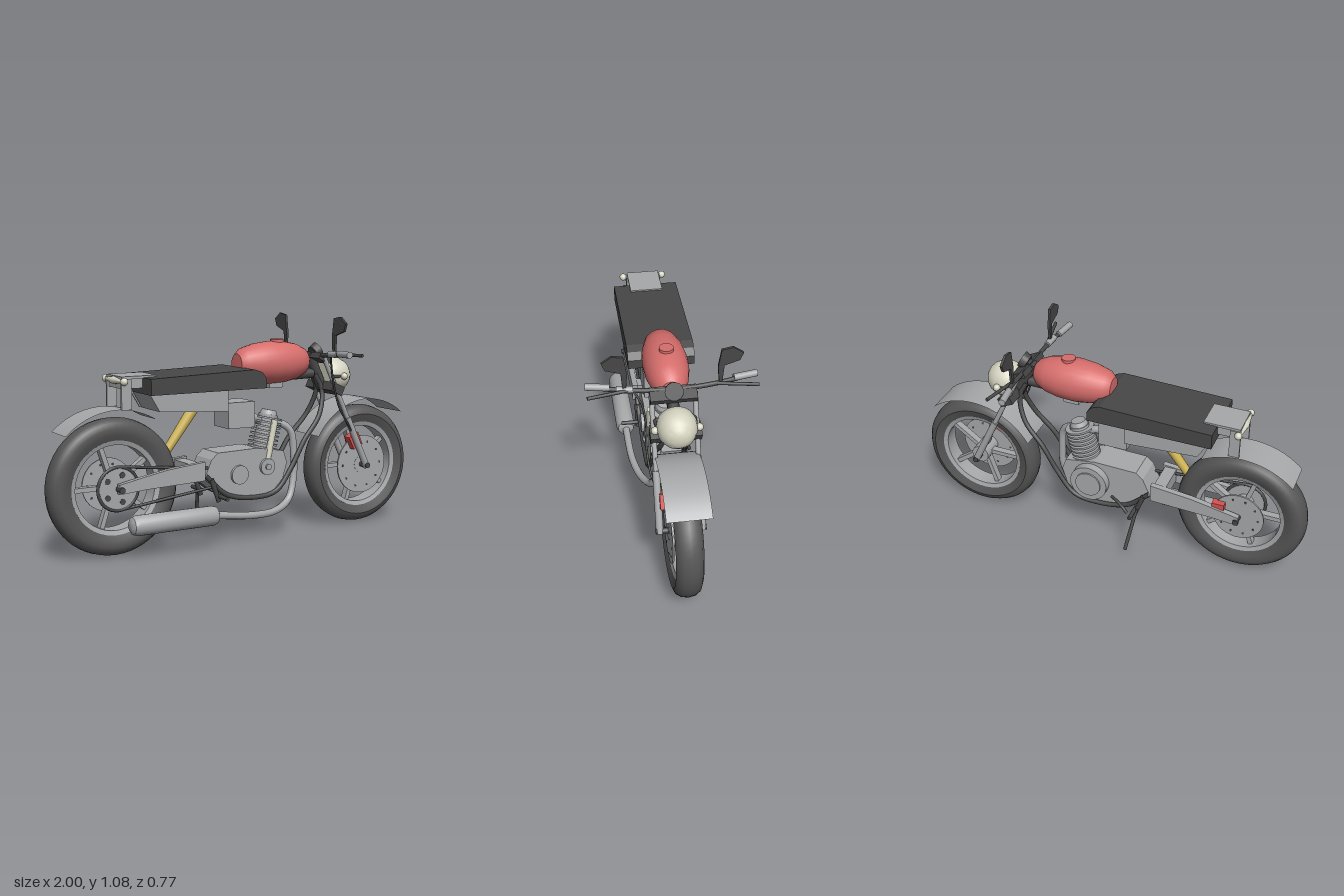
import * as THREE from 'three';
import { toCreasedNormals } from 'three/addons/utils/BufferGeometryUtils.js';

const mat = (name, color, side = THREE.FrontSide) => {
  const m = new THREE.MeshStandardMaterial({ color, side });
  m.name = name;
  return m;
};

export function createModel() {
  const root = new THREE.Group();
  root.name = 'motorcycle';
  const M = {
    rubber: mat('rubber', 0x555555),
    black: mat('black', 0x474747),
    metal: mat('metal', 0xa6a8aa, THREE.DoubleSide),
    red: mat('tankRed', 0xd66e6c),
    caliper: mat('caliperRed', 0xd85252),
    cream: mat('lampCream', 0xd6d5c2),
    gold: mat('shockGold', 0xcdb252),
  };
  const V = (p) => new THREE.Vector3(...p);
  const add = (name, geo, m, p = [0, 0, 0], parent = root) => {
    const o = new THREE.Mesh(geo, m);
    o.name = name;
    o.position.set(...p);
    parent.add(o);
    return o;
  };
  const box = (name, m, size, p, rz = 0) => {
    const o = add(name, new THREE.BoxGeometry(...size), m, p);
    o.rotation.z = rz;
    return o;
  };
  const rod = (name, m, a, b, r0, r1 = r0, parent = root) => {
    const d = V(b).sub(V(a));
    const o = add(name, new THREE.CylinderGeometry(r1, r0, d.length(), 14), m, [0, 0, 0], parent);
    o.position.copy(V(a).addScaledVector(d, 0.5));
    o.quaternion.setFromUnitVectors(new THREE.Vector3(0, 1, 0), d.normalize());
    return o;
  };
  const tube = (name, m, pts, r) =>
    add(name, new THREE.TubeGeometry(new THREE.CatmullRomCurve3(pts.map(V)), 40, r, 10), m);
  const lathe = (pts, seg) =>
    toCreasedNormals(new THREE.LatheGeometry(pts.map((p) => new THREE.Vector2(...p)), seg), 0.6);
  // Side profile in x/y, extruded between two z values
  const slab = (name, m, pts, z0, z1) =>
    add(name, new THREE.ExtrudeGeometry(new THREE.Shape(pts.map((p) => new THREE.Vector2(...p))),
      { depth: z1 - z0, bevelEnabled: false }), m, [0, 0, z0]);
  const disc = (name, m, p, r, w, parent = root) =>
    add(name, new THREE.CylinderGeometry(r, r, w, 32).rotateX(Math.PI / 2), m, p, parent);
  const sides = [1, -1];

  // Wheels: tyre, rim, five spokes, hub and drilled brake disc
  function wheel(name, x, R, discZ, discR) {
    const g = new THREE.Group();
    g.name = name;
    g.position.set(x, R, 0);
    root.add(g);
    const t = 0.215;
    add('tyre', lathe([[t, -0.045], [t + 0.03, -0.057], [R - 0.045, -0.062], [R - 0.02, -0.052], [R - 0.005, -0.03],
      [R, 0], [R - 0.005, 0.03], [R - 0.02, 0.052], [R - 0.045, 0.062], [t + 0.03, 0.057], [t, 0.045]], 56)
      .rotateX(Math.PI / 2), M.rubber, [0, 0, 0], g);
    add('rim', lathe([[0.198, -0.04], [0.219, -0.047], [0.219, 0.047], [0.198, 0.04], [0.198, -0.04]], 48)
      .rotateX(Math.PI / 2), M.metal, [0, 0, 0], g);
    for (let i = 0; i < 5; i++) {
      const a = Math.PI + (i * Math.PI * 2) / 5;
      const s = add('spoke', new THREE.BoxGeometry(0.18, 0.022, 0.035), M.metal,
        [Math.cos(a) * 0.115, Math.sin(a) * 0.115, 0], g);
      s.rotation.z = a;
    }
    disc('hub', M.metal, [0, 0, 0], 0.045, 0.12, g);
    disc('axle', M.black, [0, 0, 0], 0.014, 0.23, g);
    disc('brakeDisc', M.metal, [0, 0, discZ], discR, 0.008, g);
    for (let i = 0; i < 10; i++) {
      const a = (i * Math.PI) / 5, r = discR * 0.78;
      disc('discHole', M.black, [Math.cos(a) * r, Math.sin(a) * r, discZ], 0.006, 0.01, g);
    }
    return g;
  }
  wheel('frontWheel', 0.695, 0.305, 0.055, 0.15);
  const rear = wheel('rearWheel', -0.68, 0.32, -0.06, 0.125);

  // Rear sprocket and chain
  disc('sprocket', M.metal, [0, 0, 0.066], 0.095, 0.008, rear);
  add('sprocketChain', new THREE.TorusGeometry(0.1, 0.008, 8, 36), M.black, [0, 0, 0.066], rear);
  for (let i = 0; i < 5; i++) {
    const a = (i * Math.PI * 2) / 5;
    disc('sprocketHole', M.black, [Math.cos(a) * 0.065, Math.sin(a) * 0.065, 0.067], 0.014, 0.009, rear);
  }
  rod('lowerChain', M.black, [-0.66, 0.222, 0.066], [-0.12, 0.285, 0.066], 0.007);
  rod('upperChain', M.black, [-0.67, 0.42, 0.066], [-0.12, 0.36, 0.066], 0.007);

  // Mudguards
  const fender = (name, x, y, r, a0, a1, w, z) => {
    const d = Math.PI / 180;
    add(name, new THREE.CylinderGeometry(r, r, w, 20, 1, true, a0 * d + Math.PI / 2, (a1 - a0) * d)
      .rotateX(Math.PI / 2), M.metal, [x, y, z]);
  };
  fender('frontFender', 0.695, 0.305, 0.343, 50, 150, 0.2, 0);
  fender('rearFender', -0.68, 0.32, 0.36, 58, 134, 0.17, -0.01);

  // Fuel tank
  add('fuelTank', lathe([[0, -0.2], [0.05, -0.198], [0.076, -0.17], [0.096, -0.1], [0.105, -0.02], [0.102, 0.06],
    [0.088, 0.13], [0.065, 0.18], [0.045, 0.198], [0, 0.2]], 24).rotateZ(-Math.PI / 2), M.red, [0.18, 0.85, 0]);
  add('tankCap', new THREE.CylinderGeometry(0.033, 0.033, 0.02, 20), M.red, [0.21, 0.953, 0]);
  box('tankMount', M.metal, [0.08, 0.03, 0.06], [0.19, 0.742, 0]);

  // Seat, tray and tail
  slab('seat', M.black, [[-0.553, 0.745], [0.055, 0.745], [0.055, 0.79], [0.03, 0.822], [-0.01, 0.836],
    [-0.553, 0.82]], -0.158, 0.158);
  const tray = [[-0.53, 0.745], [-0.48, 0.66], [-0.12, 0.638], [-0.12, 0.745]];
  slab('seatTray', M.metal, tray, -0.095, 0.095);
  slab('trayPlate', M.metal, tray, -0.125, -0.115);
  box('tailPlate', M.metal, [0.175, 0.012, 0.16], [-0.575, 0.823, 0]);
  box('tailBlock', M.metal, [0.11, 0.05, 0.14], [-0.6, 0.797, 0]);
  for (const s of sides) {
    box('tailStay', M.metal, [0.05, 0.14, 0.012], [-0.64, 0.748, s * 0.08]);
    add('rearIndicator', new THREE.SphereGeometry(0.018, 14, 10), M.cream, [-0.658, 0.808, s * 0.1]);
    rod('tailLamp', M.cream, [-0.663, 0.808, 0], [-0.663, 0.808, s * 0.09], 0.018, 0.006);
  }
  box('airBox', M.metal, [0.145, 0.125, 0.14], [-0.037, 0.613, 0.01]);
  rod('shock', M.gold, [-0.405, 0.455, 0], [-0.24, 0.675, 0], 0.02, 0.028);

  // Engine case and side covers
  slab('engineCase', M.metal, [[-0.24, 0.32], [-0.12, 0.225], [-0.03, 0.205], [0.06, 0.2], [0.14, 0.22], [0.2, 0.28],
    [0.225, 0.36], [0.205, 0.42], [0.05, 0.445], [-0.165, 0.44], [-0.2, 0.41]], -0.075, 0.075);
  disc('sprocketCover', M.metal, [-0.05, 0.325, 0.075], 0.046, 0.03);
  disc('crankCover', M.metal, [0.107, 0.35, 0.075], 0.04, 0.03);
  disc('crankBolt', M.metal, [0.107, 0.35, 0.09], 0.015, 0.016);
  disc('clutchCase', M.metal, [0.07, 0.335, -0.09], 0.095, 0.05);
  disc('clutchCover', M.metal, [0.07, 0.335, -0.11], 0.065, 0.025);

  // Finned cylinder leaning forward
  const cyl = new THREE.Group();
  cyl.name = 'cylinder';
  cyl.position.set(0.115, 0.38, 0);
  cyl.rotation.z = -0.22;
  root.add(cyl);
  add('barrel', new THREE.CylinderGeometry(0.048, 0.048, 0.22, 24), M.metal, [0, 0.11, 0], cyl);
  for (let i = 0; i < 8; i++)
    add('fin', new THREE.CylinderGeometry(0.072, 0.072, 0.009, 28), M.metal, [0, 0.055 + i * 0.021, 0], cyl);
  add('headCap', new THREE.CylinderGeometry(0.035, 0.045, 0.025, 20), M.metal, [0, 0.23, 0], cyl);
  add('pushrodCover', new THREE.CylinderGeometry(0.016, 0.016, 0.2, 14), M.cream, [0, 0.1, 0.068], cyl);
  tube('intake', M.metal, [[0.03, 0.59, 0], [0.08, 0.585, 0], [0.12, 0.56, 0], [0.15, 0.53, 0]], 0.02);

  // Exhaust and silencer
  tube('exhaust', M.metal, [[0.15, 0.555, 0.02], [0.215, 0.55, 0.03], [0.265, 0.51, 0.045], [0.28, 0.4, 0.05],
    [0.277, 0.28, 0.055], [0.235, 0.175, 0.075], [0.14, 0.135, 0.11], [0, 0.133, 0.14], [-0.23, 0.16, 0.148]], 0.018);
  add('silencer', lathe([[0, -0.225], [0.025, -0.225], [0.04, -0.215], [0.047, -0.195], [0.047, 0.195],
    [0.04, 0.215], [0.022, 0.225], [0, 0.225]], 24).rotateZ(-Math.PI / 2), M.metal, [-0.435, 0.16, 0.148]);

  // Frame and swingarm
  rod('backbone', M.black, [0.42, 0.785, 0], [0, 0.775, 0], 0.025);
  rod('steeringHead', M.black, [0.4, 0.89, 0], [0.48, 0.71, 0], 0.026);
  for (const s of sides) {
    tube('cradleTube', M.black, [[0.43, 0.78, s * 0.015], [0.465, 0.7, s * 0.025], [0.43, 0.58, s * 0.055],
      [0.33, 0.46, s * 0.07], [0.25, 0.33, s * 0.075], [0.16, 0.225, s * 0.08], [0.04, 0.205, s * 0.08],
      [-0.12, 0.235, s * 0.08], [-0.24, 0.34, s * 0.085]], 0.012);
    slab('swingarm', M.metal, [[-0.25, 0.32], [-0.25, 0.41], [-0.45, 0.39], [-0.56, 0.37], [-0.69, 0.345],
      [-0.69, 0.3], [-0.56, 0.31]], s * 0.092 - 0.014, s * 0.092 + 0.014);
    rod('footPeg', M.black, [-0.17, 0.235, s * 0.08], [-0.17, 0.235, s * 0.175], 0.01);
    rod('pegBracket', M.black, [-0.17, 0.21, s * 0.09], [-0.21, 0.32, s * 0.09], 0.012);
  }
  box('swingarmBridge', M.metal, [0.06, 0.07, 0.17], [-0.29, 0.365, 0]);
  tube('shiftLever', M.black, [[-0.05, 0.28, -0.1], [-0.09, 0.285, -0.13], [-0.13, 0.27, -0.15], [-0.15, 0.25, -0.155]], 0.008);
  rod('kickstand', M.black, [-0.18, 0.24, -0.1], [-0.152, 0.035, -0.18], 0.009);

  // Front fork and clamps, leaning back along one slope
  const forkX = (y) => 0.425 + (0.87 - y) * 0.478;
  for (const s of sides) {
    const z = s * 0.097;
    rod('forkTube', M.metal, [forkX(0.87), 0.87, z], [forkX(0.5), 0.5, z], 0.012);
    rod('forkLeg', M.metal, [forkX(0.56), 0.56, z], [forkX(0.295), 0.295, z], 0.017);
    rod('headlightBracket', M.black, [0.47, 0.77, s * 0.09], [0.54, 0.77, s * 0.085], 0.008);
    add('frontIndicator', new THREE.SphereGeometry(0.018, 14, 10), M.cream, [0.55, 0.77, s * 0.098]);
  }
  box('upperClamp', M.black, [0.07, 0.03, 0.21], [forkX(0.865), 0.865, 0], -0.45);
  box('lowerClamp', M.black, [0.07, 0.045, 0.23], [forkX(0.71), 0.71, 0], -0.45);
  box('frontCaliper', M.caliper, [0.06, 0.07, 0.045], [0.635, 0.435, 0.068], 0.45);
  box('rearCaliper', M.caliper, [0.06, 0.06, 0.04], [-0.585, 0.36, -0.075]);

  // Bullet headlight
  add('headlight', lathe([[0, 0], [0.07, 0], [0.084, 0.015], [0.091, 0.045], [0.087, 0.085], [0.071, 0.118],
    [0.05, 0.138], [0.03, 0.148], [0, 0.152]], 28).rotateZ(-Math.PI / 2), M.cream, [0.485, 0.77, 0]);
  rod('gauge', M.black, [0.425, 0.885, 0], [0.455, 0.9, 0], 0.036, 0.042);

  // Handlebar, grips, levers and mirrors
  tube('handlebar', M.black, [[0.37, 0.9, 0.37], [0.4, 0.893, 0.24], [0.41, 0.882, 0.1], [0.41, 0.88, 0],
    [0.41, 0.882, -0.1], [0.4, 0.893, -0.24], [0.37, 0.9, -0.37]], 0.011);
  for (const s of sides) {
    rod('grip', M.metal, [0.388, 0.9, s * 0.275], [0.372, 0.903, s * 0.382], 0.016);
    rod('lever', M.black, [0.41, 0.893, s * 0.19], [0.45, 0.897, s * 0.378], 0.008);
    const mirror = [[0.199, 0.977], [0.206, 0.895], [0.22, 0.895], [0.227, 0.985], [0.295, 1.008], [0.31, 1.045],
      [0.264, 1.077], [0.213, 1.068]].map(([z, y]) => [-s * z, y]);
    const m = slab('mirror', M.black, mirror, 0, 0.012);
    m.rotation.y = Math.PI / 2;
    m.position.set(0.398, 0, 0);
  }
  rod('brakeReservoir', M.metal, [0.405, 0.892, 0.175], [0.4, 0.895, 0.248], 0.016);
  tube('brakeHose', M.black, [[0.41, 0.89, 0.175], [0.44, 0.83, 0.14], [0.47, 0.72, 0.125], [0.5, 0.62, 0.128],
    [0.57, 0.52, 0.115], [0.62, 0.46, 0.085]], 0.005);
  return root;
}
